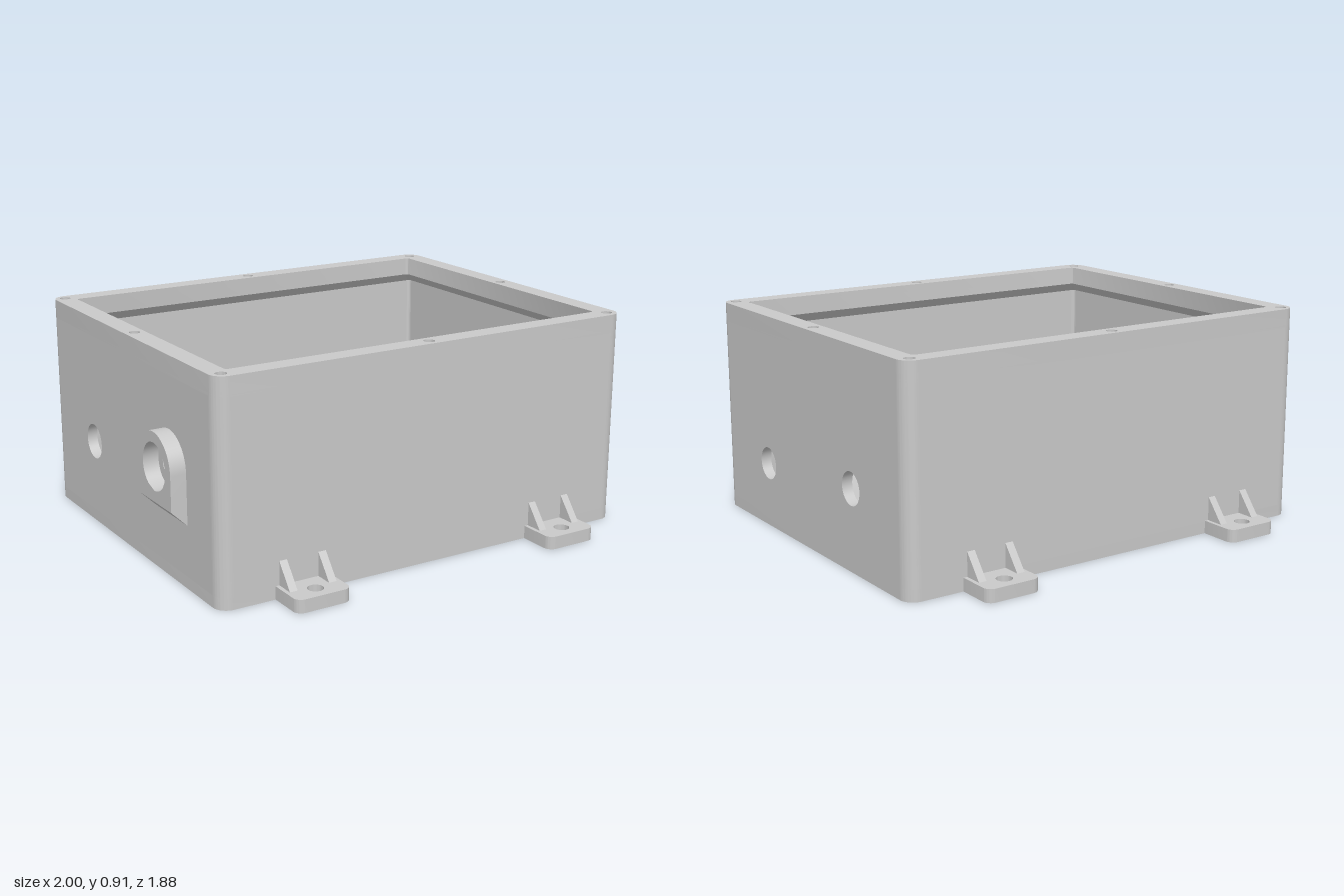
import * as THREE from 'three';
import { toCreasedNormals } from 'three/addons/utils/BufferGeometryUtils.js';

// Overall box limits
const X0 = -0.933, X1 = 1, Z = 0.773, H = 0.913;
const R = 0.06, WALL = 0.045, FLOOR = 0.05;
const LIP = 0.086, LIP_H = 0.08, SLOPE = LIP - WALL;

const grey = new THREE.MeshStandardMaterial({ color: 0xc9c9c9 });
grey.name = 'light grey plastic';

function mesh(name, geometry) {
  const m = new THREE.Mesh(toCreasedNormals(geometry, 0.6), grey);
  m.name = name;
  return m;
}

function circle(x, y, r) {
  return new THREE.Path().absarc(x, y, r, 0, Math.PI * 2, true);
}

function roundRect(x0, x1, y0, y1, r, Type = THREE.Shape) {
  const q = Math.PI / 2;
  return new Type()
    .absarc(x1 - r, y0 + r, r, -q, 0, false)
    .absarc(x1 - r, y1 - r, r, 0, q, false)
    .absarc(x0 + r, y1 - r, r, q, 2 * q, false)
    .absarc(x0 + r, y0 + r, r, 2 * q, 3 * q, false)
    .closePath();
}

// Box outline moved inwards by an inset
const outline = (inset, r, Type) => roundRect(X0 + inset, X1 - inset, -Z + inset, Z - inset, r, Type);

function extrude(shape, depth) {
  return new THREE.ExtrudeGeometry(shape, { depth, bevelEnabled: false, curveSegments: 16 });
}

// Plan shape (shape y = -z) raised from y to y + height
const upright = (shape, y, height) => extrude(shape, height).rotateX(-Math.PI / 2).translate(0, y, 0);

// Side shape (shape x = -z) pushed along +x from x
const sideways = (shape, x, depth) => extrude(shape, depth).rotateY(Math.PI / 2).translate(x, 0, 0);

function panel(u0, u1, holes = []) {
  const s = new THREE.Shape([[u0, FLOOR], [u1, FLOOR], [u1, H - LIP_H], [u0, H - LIP_H]]
    .map(([x, y]) => new THREE.Vector2(x, y)));
  holes.forEach(([z, y, r]) => s.holes.push(circle(-z, y, r)));
  return s;
}

function buildShell() {
  const g = new THREE.Group();
  g.name = 'enclosure';
  g.add(mesh('floor', upright(outline(0, R), 0, FLOOR)));

  // Straight walls with their cable holes
  const longWall = panel(X0 + R, X1 - R);
  g.add(mesh('frontWall', extrude(longWall, WALL).translate(0, 0, Z - WALL)));
  g.add(mesh('backWall', extrude(longWall, WALL).translate(0, 0, -Z)));
  const leftHoles = [[0.36, 0.277, 0.069], [-0.355, 0.342, 0.069]];
  const rightHoles = [[0.375, 0.475, 0.06], [-0.355, 0.365, 0.075]];
  g.add(mesh('leftWall', sideways(panel(-Z + R, Z - R, leftHoles), X1 - WALL, WALL)));
  g.add(mesh('rightWall', sideways(panel(-Z + R, Z - R, rightHoles), X0, WALL)));

  // Rounded wall corners
  const corners = [[X1 - R, Z - R], [X0 + R, Z - R], [X0 + R, -Z + R], [X1 - R, -Z + R]];
  corners.forEach(([x, y], i) => {
    const a = i * Math.PI / 2, b = a + Math.PI / 2;
    const s = new THREE.Shape().absarc(x, y, R, a, b, false).absarc(x, y, R - WALL, b, a, true).closePath();
    g.add(mesh('wallCorner', upright(s, FLOOR, H - LIP_H - FLOOR)));
  });

  // Rim lip with blind screw holes
  const rim = outline(0, R);
  rim.holes.push(outline(LIP, 0.015, THREE.Path));
  g.add(mesh('rimBase', upright(rim, H - LIP_H, 0.01)));
  const screws = [[-0.89, 0], [0.955, 0]];
  for (const s of [-1, 1]) {
    screws.push([-0.886, 0.727 * s], [0.951, 0.727 * s], [0.032, 0.731 * s]);
  }
  screws.forEach(([x, y]) => rim.holes.push(circle(x, y, 0.023)));
  g.add(mesh('rim', upright(rim, H - LIP_H + 0.01, LIP_H - 0.01)));

  // Sloped underside joining the lip to the walls
  const top = outline(LIP, 0.015).getPoints(6), low = outline(WALL, 0.015).getPoints(6);
  const yT = H - LIP_H, yL = yT - SLOPE, pos = [];
  for (let i = 0; i < top.length; i++) {
    const j = (i + 1) % top.length;
    const u = p => [p.x, yT, -p.y], l = p => [p.x, yL, -p.y];
    pos.push(...u(top[i]), ...u(top[j]), ...l(low[i]), ...u(top[j]), ...l(low[j]), ...l(low[i]));
  }
  const slope = new THREE.BufferGeometry();
  slope.setAttribute('position', new THREE.Float32BufferAttribute(pos, 3));
  g.add(mesh('rimUnderside', slope));
  return g;
}

// Hollow post on the floor
function buildStandoff(x, z) {
  const profile = [[0.05, 0], [0.05, 0.06], [0.025, 0.06], [0.025, 0]].map(p => new THREE.Vector2(...p));
  const m = mesh('standoff', new THREE.LatheGeometry(profile, 28));
  m.position.set(x, FLOOR, z);
  return m;
}

// Arched cable boss with a sloped lower face
function buildBoss() {
  const u = -0.375, y = 0.475, r = 0.142, bottom = 0.265;
  const s = new THREE.Shape().moveTo(u - r, bottom).lineTo(u + r, bottom)
    .absarc(u, y, r, 0, Math.PI, false).closePath();
  s.holes.push(circle(u, y, 0.098));
  const geo = sideways(s, -1, X0 + 1);
  const p = geo.attributes.position;
  for (let i = 0; i < p.count; i++) {
    if (p.getX(i) < -0.99 && p.getY(i) < bottom + 0.01) p.setY(i, 0.33);
  }
  return mesh('cableBoss', geo);
}

// Mounting foot with two ribs, built at the back
function buildFoot() {
  const g = new THREE.Group();
  g.name = 'mountingFoot';
  const base = new THREE.Shape().moveTo(-0.121, Z - 0.005).lineTo(0.121, Z - 0.005)
    .absarc(0.086, 0.903, 0.035, 0, Math.PI / 2, false)
    .absarc(-0.086, 0.903, 0.035, Math.PI / 2, Math.PI, false).closePath();
  base.holes.push(circle(0, 0.867, 0.033));
  g.add(mesh('footPlate', upright(base, 0, 0.055)));
  const rib = new THREE.Shape().moveTo(Z - 0.005, 0.05).lineTo(0.852, 0.05).lineTo(0.852, 0.055)
    .lineTo(Z, 0.155).lineTo(Z - 0.005, 0.155).closePath();
  for (const x of [-0.087, 0.087]) g.add(mesh('footRib', sideways(rib, x - 0.017, 0.034)));
  return g;
}

export function createModel() {
  const model = new THREE.Group();
  model.name = 'junctionBox';
  model.add(buildShell(), buildBoss());
  for (const s of [-1, 1]) {
    for (const x of [-0.66, 0.724]) model.add(buildStandoff(x, 0.5 * s));
    for (const x of [-0.573, 0.636]) {
      const foot = buildFoot();
      foot.position.x = x;
      if (s > 0) foot.rotation.y = Math.PI;
      model.add(foot);
    }
  }
  return model;
}
